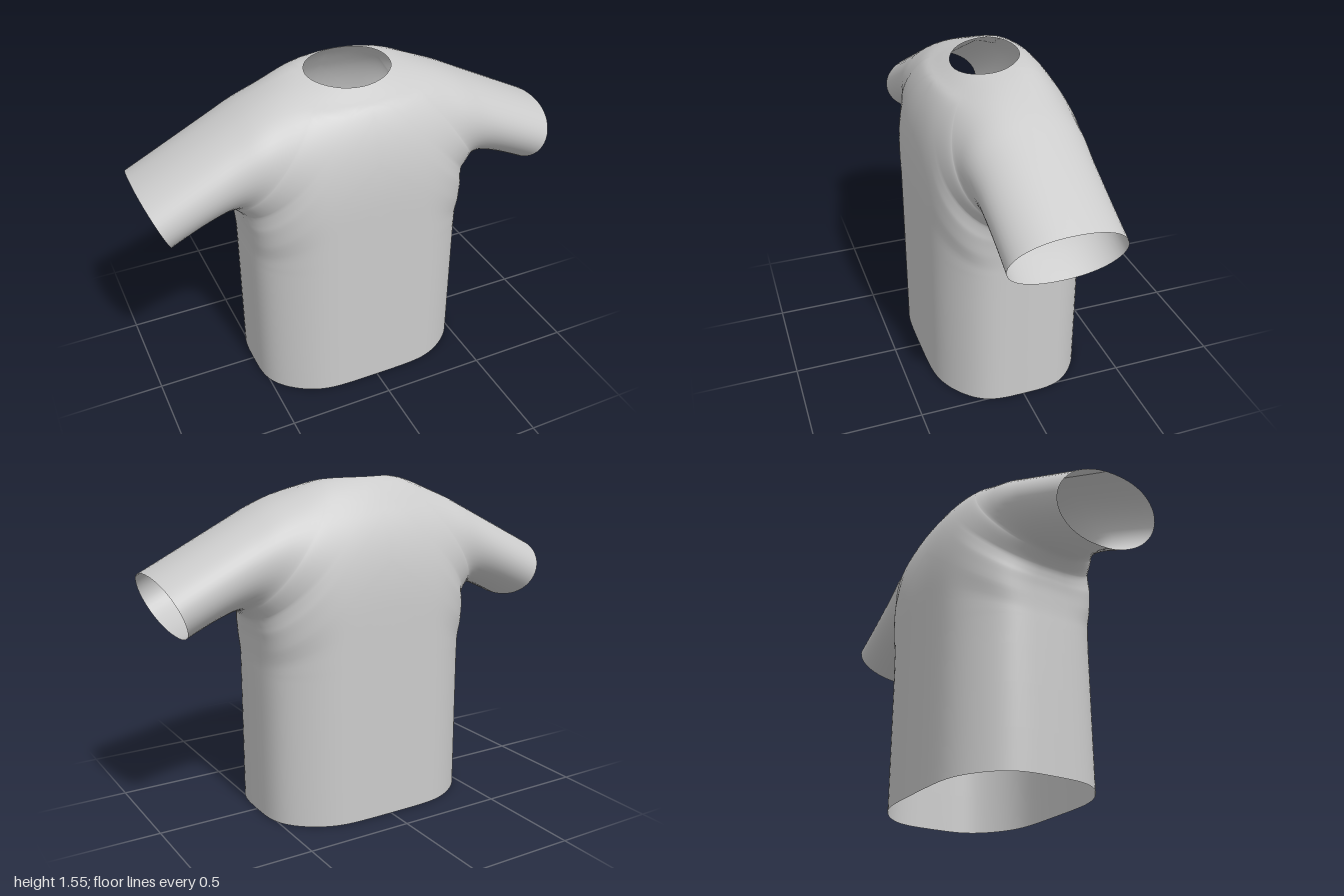
import * as THREE from 'three';
import { mergeVertices } from 'three/addons/utils/BufferGeometryUtils.js';

const { smoothstep, lerp } = THREE.MathUtils;

// Side seam from hem through the armpit to the cuff: x, y, and half depth of the section there
const seam = new THREE.CatmullRomCurve3([
  [0.52, 0, 0.37], [0.52, 0.68, 0.37], [0.52, 0.74, 0.37], [0.523, 0.8, 0.368],
  [0.527, 0.85, 0.363], [0.533, 0.885, 0.357], [0.538, 0.91, 0.349], [0.549, 0.94, 0.338],
  [0.6, 0.985, 0.295], [0.63, 0.99, 0.275], [0.67, 0.983, 0.262],
  [0.74, 0.96, 0.257], [0.81, 0.93, 0.255], [0.88, 0.897, 0.255],
].map((p) => new THREE.Vector3(...p)));
const CENTRE_END = 7, NECK_END = 8, CUFF = 13; // positions along the seam keys

// Chest: superellipse in plan, rounded over toward the shoulder ridge
const HALF_WIDTH = 0.52, HALF_DEPTH = 0.37, PLAN = 3.5, ARCH = 2.5, ARCH_HEIGHT = 0.6;
const COLLAR_X = 0.2, COLLAR_Z = 0.148;

const ridgeY = (x) => (x < 0.5 ? 1.5475 - 0.47 * x * x : 1.43 - 0.5 * (x - 0.5));
const round = (v, n) => Math.pow(Math.max(0, 1 - Math.pow(v, n)), 1 / n);
const planDepth = (x) => HALF_DEPTH * round(Math.min(1, x / HALF_WIDTH), PLAN);

function chestDepth(x, y) {
  const drop = Math.max(0, ridgeY(x) - y) / ARCH_HEIGHT;
  return planDepth(x) * round(Math.max(0, 1 - drop), ARCH);
}

// Point of the oval collar, lying on the chest surface
function collarPoint(angle) {
  const x = COLLAR_X * Math.sin(angle), z = COLLAR_Z * Math.cos(angle);
  const drop = ARCH_HEIGHT * (1 - round(z / planDepth(x), ARCH));
  return { x, y: ridgeY(x) - drop, z };
}

// Heights on the centre line that match the seam keys
const centreY = [0, 0.7, 1.0, 1.2, 1.3, 1.4, 1.46, collarPoint(0).y];

// Upper end of the section at position k: centre line, then collar, then shoulder ridge
function topPoint(k) {
  if (k < CENTRE_END) {
    const i = Math.floor(k), y = lerp(centreY[i], centreY[i + 1], k - i);
    return { x: 0, y, z: chestDepth(0, y) };
  }
  if (k < NECK_END) return collarPoint((k - CENTRE_END) * Math.PI / 2);
  const x = lerp(COLLAR_X, 1, (k - NECK_END) / (CUFF - NECK_END));
  return { x, y: ridgeY(x), z: 0 };
}

// One section: an arc from the seam to the upper end, blended into the chest
function section(k, segments) {
  const p = seam.getPoint(k / CUFF), q = topPoint(k), depth = p.z;
  const n = lerp(PLAN, 2.2, smoothstep(k, 3, 9));
  const end = Math.PI - Math.asin(Math.min(1, Math.pow(q.z / depth, n / 2)));
  const row = [];
  for (let j = 0; j <= segments; j++) {
    const a = end * j / segments;
    const f = (1 - Math.cos(a)) / (1 - Math.cos(end));
    const x = lerp(p.x, q.x, f), y = lerp(p.y, q.y, f);
    const arc = depth * Math.pow(Math.max(0, Math.sin(a)), 2 / n);
    row.push([x, y, lerp(chestDepth(x, y), arc, smoothstep(x, 0.2, 0.5))]);
  }
  row[segments][2] = q.z;
  return row;
}

function shirtGeometry() {
  const segments = 24, rows = [];
  const addRows = (from, to, count) => {
    for (let i = rows.length ? 1 : 0; i <= count; i++) {
      rows.push(section(lerp(from, to, i / count), segments));
    }
  };
  addRows(0, 1, 4);
  addRows(1, CENTRE_END, 24);
  addRows(CENTRE_END, NECK_END, 10);
  addRows(NECK_END, CUFF, 24);

  const positions = [], index = [];
  const width = segments + 1;
  // Mirror the quarter to left/right and front/back
  for (const sx of [1, -1]) for (const sz of [1, -1]) {
    const base = positions.length / 3;
    for (const row of rows) for (const [x, y, z0] of row) {
      // The collar slopes down toward the front
      const k = smoothstep(y, 1.42, 1.52) * (1 - smoothstep(x, 0.2, 0.45));
      const z = sz * z0;
      positions.push(sx * x, y - 0.19 * z * k, z + 0.017 * k);
    }
    for (let i = 0; i < rows.length - 1; i++) for (let j = 0; j < segments; j++) {
      const a = base + i * width + j, b = a + width, c = b + 1, d = a + 1;
      if (sx * sz > 0) index.push(a, b, d, b, c, d);
      else index.push(a, d, b, b, d, c);
    }
  }
  let geometry = new THREE.BufferGeometry();
  geometry.setAttribute('position', new THREE.Float32BufferAttribute(positions, 3));
  geometry.setIndex(index);
  geometry = mergeVertices(geometry, 1e-4);
  geometry.computeVertexNormals();
  return geometry;
}

export function createModel() {
  const group = new THREE.Group();
  group.name = 'tShirt';
  const fabric = new THREE.MeshStandardMaterial({ color: 0xcccccc, side: THREE.DoubleSide });
  const shirt = new THREE.Mesh(shirtGeometry(), fabric);
  shirt.name = 'shirtBodyAndSleeves';
  group.add(shirt);
  return group;
}
